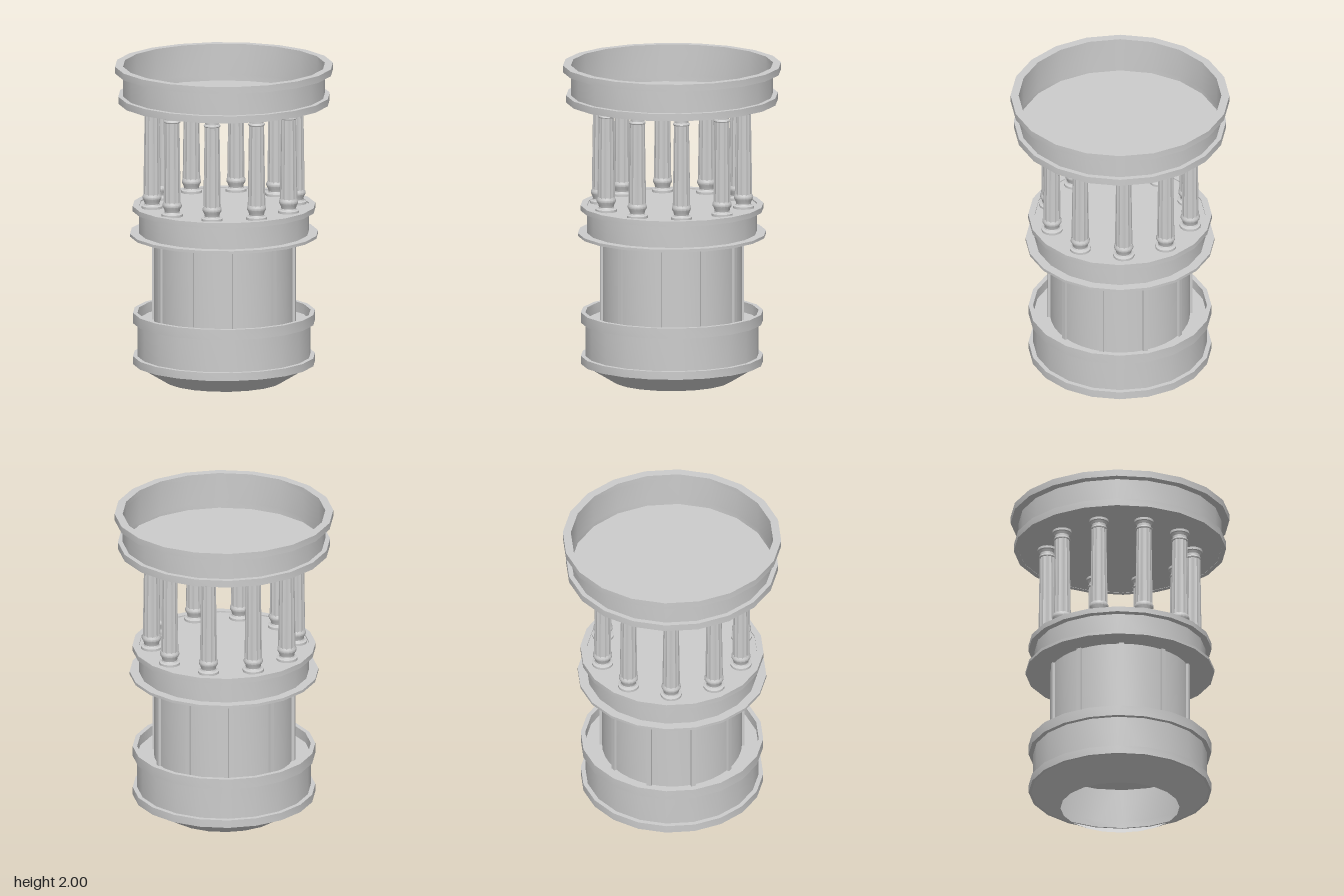
import * as THREE from 'three';
import { toCreasedNormals } from 'three/addons/utils/BufferGeometryUtils.js';

const SIDES = 20;
const TURN = -Math.PI / 60; // slight twist of the polygonal rings
const material = new THREE.MeshStandardMaterial({ color: 0xcccccc, side: THREE.DoubleSide });

function add(parent, name, geometry) {
  const mesh = new THREE.Mesh(geometry, material);
  mesh.name = name;
  parent.add(mesh);
  return mesh;
}

// Revolved profile of [radius, height] pairs, listed upward on the outside
function lathe(points, sides = SIDES, turn = TURN) {
  const profile = points.map(([r, y]) => new THREE.Vector2(r, y));
  return toCreasedNormals(new THREE.LatheGeometry(profile, sides, turn), 0.5);
}

// Solid band with a rectangular section
function band(inner, outer, y0, y1) {
  return lathe([[inner, y0], [outer, y0], [outer, y1], [inner, y1], [inner, y0]]);
}

// Flat disc at one height
function disc(radius, y) {
  return lathe([[0.0001, y], [radius, y]]);
}

// Tapered shaft whose surface is pressed in by vertical flutes
function flutedShaft(bottom, top, y0, y1, flutes = 12) {
  const g = new THREE.CylinderGeometry(top, bottom, y1 - y0, flutes * 4, 1, true);
  const p = g.attributes.position;
  for (let i = 0; i < p.count; i++) {
    const a = Math.atan2(p.getX(i), p.getZ(i));
    const k = 1 - 0.09 * Math.abs(Math.sin(a * flutes / 2));
    p.setX(i, p.getX(i) * k);
    p.setZ(i, p.getZ(i) * k);
  }
  g.translate(0, (y0 + y1) / 2, 0);
  return toCreasedNormals(g, 0.4);
}

export function createModel() {
  const model = new THREE.Group();
  model.name = 'roundTower';

  // Base: open-bottomed tapered foot, wall and two bands
  const base = new THREE.Group();
  base.name = 'base';
  model.add(base);
  add(base, 'baseFoot', lathe([[0.37, 0], [0.55, 0.11]]));
  add(base, 'baseLowerBand', band(0.54, 0.568, 0.11, 0.16));
  add(base, 'baseWall', lathe([[0.54, 0.11], [0.54, 0.43]]));
  add(base, 'baseUpperBand', band(0.54, 0.568, 0.37, 0.435));
  add(base, 'baseFloor', disc(0.54, 0.37));

  // Drum with ten slim vertical ribs
  const drum = new THREE.Group();
  drum.name = 'drum';
  model.add(drum);
  add(drum, 'drumWall', lathe([[0.435, 0.37], [0.435, 0.93]], 40, 0));
  const ribGeometry = new THREE.BoxGeometry(0.03, 0.55, 0.03);
  for (let i = 0; i < 10; i++) {
    const a = i * Math.PI / 5;
    const rib = add(drum, 'drumRib', ribGeometry);
    rib.position.set(0.435 * Math.sin(a), 0.645, 0.435 * Math.cos(a));
    rib.rotation.y = a;
  }

  // Balcony deck carrying the columns
  const balcony = new THREE.Group();
  balcony.name = 'balcony';
  model.add(balcony);
  add(balcony, 'balconyFlange', lathe([[0.0001, 0.92], [0.587, 0.92], [0.587, 0.938], [0.53, 0.938]]));
  add(balcony, 'balconyWall', lathe([[0.53, 0.93], [0.53, 1.11]]));
  add(balcony, 'balconyBand', band(0.53, 0.57, 1.08, 1.113));
  add(balcony, 'balconyDeck', disc(0.53, 1.105));

  // Ring of ten fluted columns
  const foot = lathe([[0.0001, 1.105], [0.066, 1.105], [0.066, 1.12], [0.05, 1.125], [0.046, 1.133],
    [0.05, 1.15], [0.06, 1.168], [0.06, 1.18], [0.053, 1.195], [0.0001, 1.195]], 16);
  const shaft = flutedShaft(0.055, 0.047, 1.19, 1.71);
  const capital = lathe([[0.0001, 1.7], [0.05, 1.7], [0.053, 1.706], [0.05, 1.713], [0.044, 1.717],
    [0.044, 1.733], [0.052, 1.747], [0.06, 1.75], [0.06, 1.765], [0.0001, 1.765]], 16);
  for (let i = 0; i < 10; i++) {
    const a = (i + 0.5) * Math.PI / 5;
    const column = new THREE.Group();
    column.name = 'column';
    column.position.set(0.452 * Math.sin(a), 0, 0.452 * Math.cos(a));
    column.rotation.y = a;
    add(column, 'columnFoot', foot);
    add(column, 'columnShaft', shaft);
    add(column, 'columnCapital', capital);
    model.add(column);
  }

  // Open dish on top
  const dish = new THREE.Group();
  dish.name = 'topDish';
  model.add(dish);
  add(dish, 'dishFloor', disc(0.63, 1.767));
  add(dish, 'dishLowerBand', band(0.63, 0.66, 1.765, 1.81));
  add(dish, 'dishWall', lathe([[0.63, 1.765], [0.63, 2]]));
  add(dish, 'dishRim', band(0.63, 0.68, 1.957, 2));

  return model;
}
